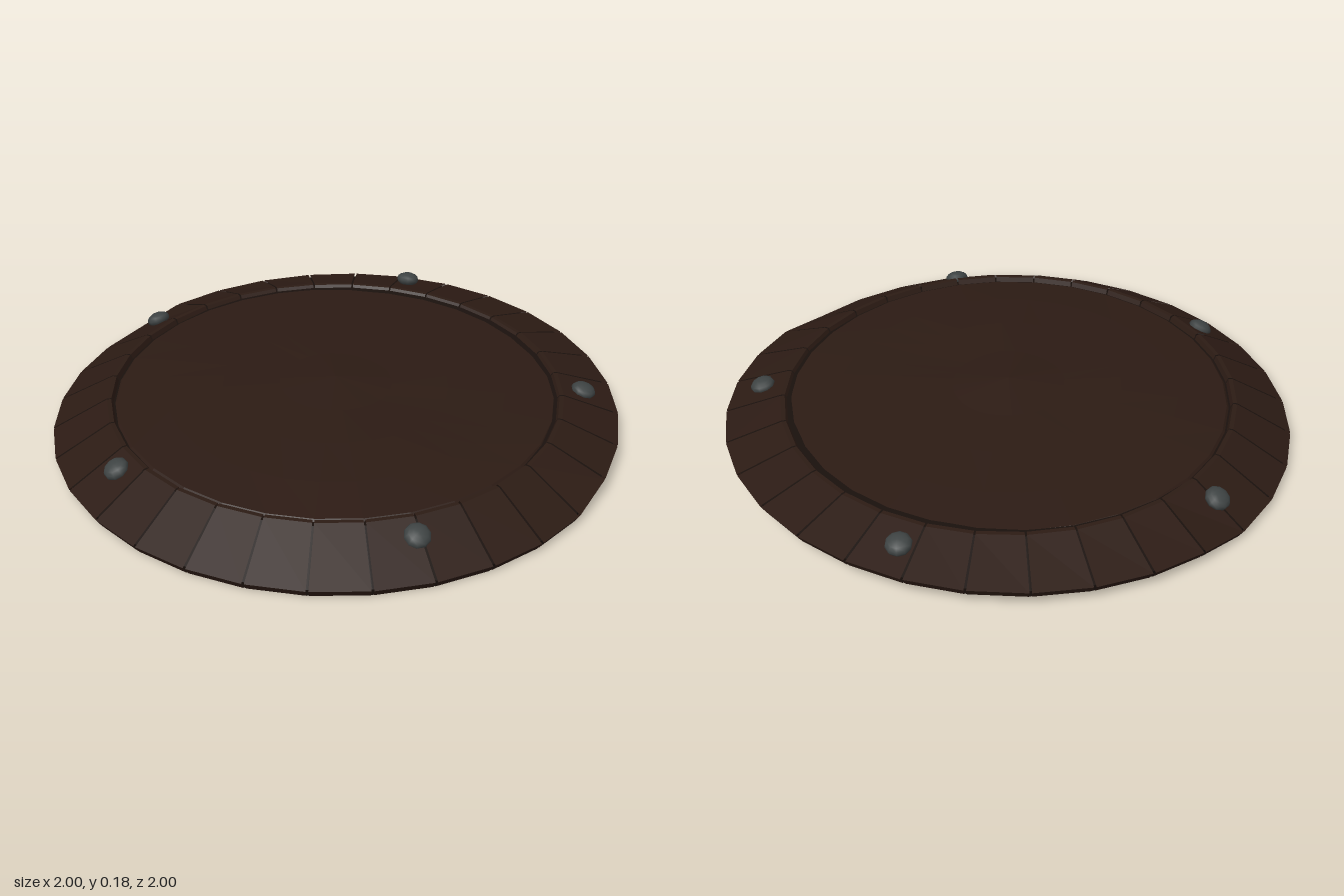
import * as THREE from 'three';

const SIDES = 32;
const material = (color, extra = {}) =>
  new THREE.MeshStandardMaterial({ color, flatShading: true, ...extra });

// Rise of the warped underside on the +x half
function lift(x) {
  if (x <= 0) return 0;
  return x < 0.2 ? x * 0.15 : 0.03 + (x - 0.2) * 0.0385;
}

// Warp fades out towards the top of the rim
const warp = (x, y) => y + lift(x) * THREE.MathUtils.clamp((0.14 - y) / 0.11, 0, 1);

function lathe(name, profile, mat, bend, segments = SIDES, start = 0, length = Math.PI * 2) {
  const points = profile.map(([r, y]) => new THREE.Vector2(r, y));
  const geometry = new THREE.LatheGeometry(points, segments, start, length);
  const p = geometry.attributes.position;
  for (let i = 0; i < p.count; i++) {
    p.setY(i, bend(p.getX(i), p.getY(i), p.getZ(i)));
  }
  geometry.computeVertexNormals();
  const mesh = new THREE.Mesh(geometry, mat);
  mesh.name = name;
  return mesh;
}

export function createModel() {
  const model = new THREE.Group();
  model.name = 'roundLid';
  const wood = material(0x2c1b14);
  const plankWood = material(0x2c1b14, { side: THREE.DoubleSide });
  const dark = material(0x1a110d);
  const iron = material(0x3e4343, { flatShading: false });

  // Dark backing: underside and the floor of the plank seams
  model.add(lathe('backing',
    [[0, 0], [0.98, 0], [0.985, 0.025], [0.8, 0.122], [0.76, 0.118]], dark, warp));

  // Uneven, gently domed centre panel
  model.add(lathe('centrePanel',
    [[0.785, 0.112], [0.77, 0.127], [0.6, 0.141], [0.4, 0.153], [0.2, 0.157], [0, 0.178]],
    wood, (x, y, z) => {
      const r = Math.hypot(x, z);
      const wave = Math.sin(Math.min(r / 0.77, 1) * Math.PI);
      return y - 0.005 * wave * Math.sign(x) * Math.min(1, Math.abs(x) * 5)
        + 0.003 * wave * Math.cos(4 * Math.atan2(z, x) + Math.PI);
    }));

  // Sloping rim planks with narrow seams between them
  const rim = new THREE.Group();
  rim.name = 'rim';
  const step = (Math.PI * 2) / SIDES;
  const seam = 0.004;
  const plankProfile = [[0.975, 0], [0.982, 0], [1, 0.03], [0.805, 0.138], [0.79, 0.138], [0.78, 0.112]];
  for (let i = 0; i < SIDES; i++) {
    rim.add(lathe('rimPlank', plankProfile, plankWood, warp, 1, i * step + seam, step - 2 * seam));
  }
  model.add(rim);

  // Iron rivets, tilted to lie on the rim slope
  const rivetShape = new THREE.SphereGeometry(0.044, 10, 8);
  const rivets = [[0, 0.107, -0.89], [0.85, 0.133, -0.3], [0.55, 0.12, 0.69],
    [-0.49, 0.108, 0.71], [-0.82, 0.112, -0.26]];
  for (const [x, y, z] of rivets) {
    const rivet = new THREE.Mesh(rivetShape, iron);
    rivet.name = 'rivet';
    rivet.position.set(x, y, z);
    rivet.scale.set(1, 0.6, 1);
    const tilt = x > 0.5 ? 0.25 : 0.45;
    const r = Math.hypot(x, z);
    const normal = new THREE.Vector3(x / r * Math.sin(tilt), Math.cos(tilt), z / r * Math.sin(tilt));
    rivet.quaternion.setFromUnitVectors(new THREE.Vector3(0, 1, 0), normal);
    model.add(rivet);
  }
  return model;
}
